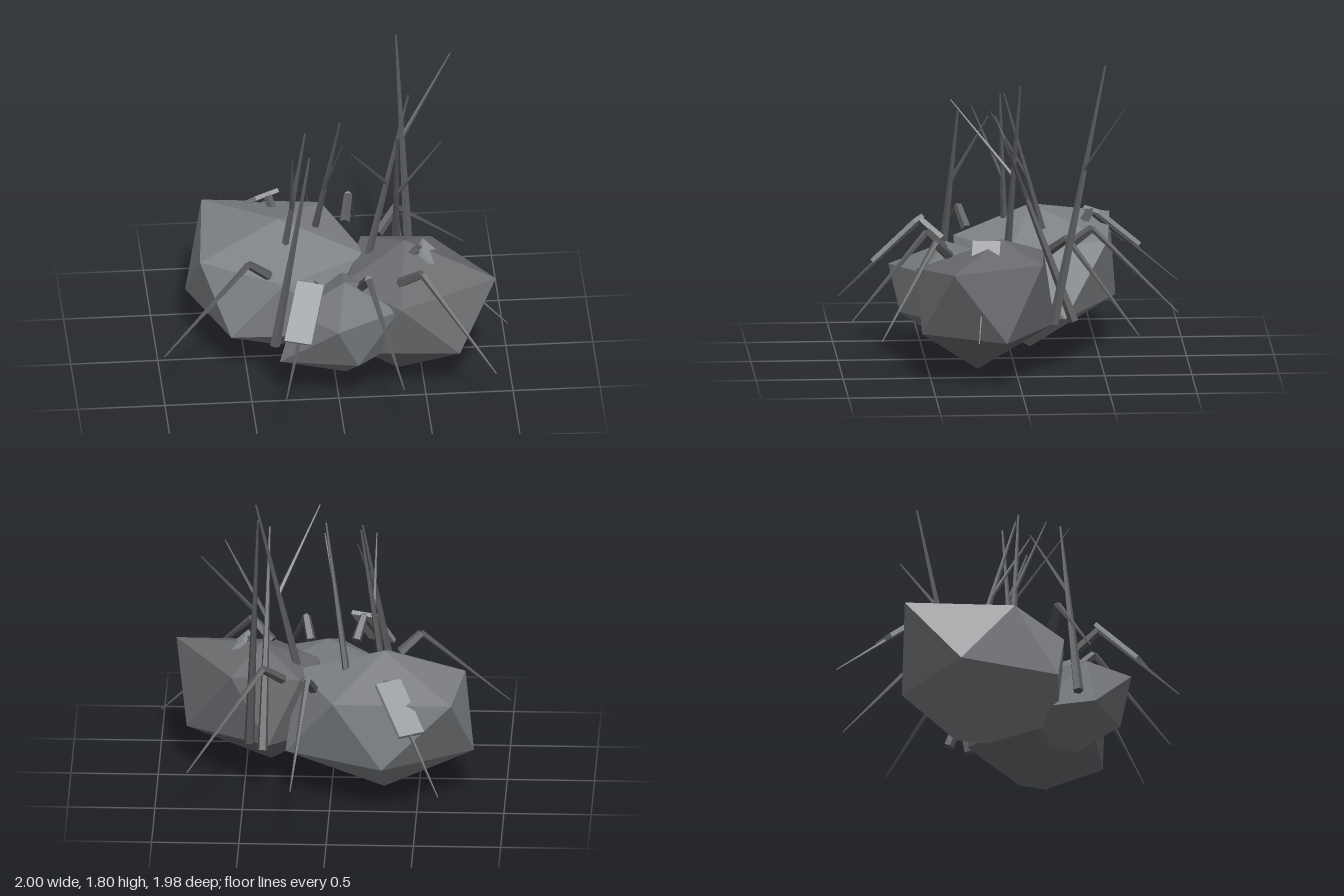
import * as THREE from 'three';

const paint = (color) => new THREE.MeshStandardMaterial({ color, flatShading: true });
const paleRock = paint(0x7e8185);
const midRock = paint(0x74777a);
const darkRock = paint(0x686a6d);
const boardGrey = paint(0x94979b);
const twigGrey = paint(0x5a5b5d);
const vec = (p) => new THREE.Vector3(...p);

function addMesh(parent, name, geometry, material) {
  const mesh = new THREE.Mesh(geometry, material);
  mesh.name = name;
  parent.add(mesh);
  return mesh;
}

// Irregular 20-sided boulder: two poles and two staggered rings of five
function boulder(top, bottom, upper, lower) {
  const pos = [];
  const face = (...corners) => corners.forEach((c) => pos.push(...c));
  for (let i = 0; i < 5; i++) {
    const j = (i + 1) % 5;
    face(top, upper[j], upper[i]);
    face(upper[i], upper[j], lower[i]);
    face(upper[j], lower[j], lower[i]);
    face(bottom, lower[i], lower[j]);
  }
  const geometry = new THREE.BufferGeometry();
  geometry.setAttribute('position', new THREE.Float32BufferAttribute(pos, 3));
  geometry.computeVertexNormals();
  return geometry;
}

// Tapered rod between two points
function rod(parent, name, from, to, r0, r1) {
  const a = vec(from), b = vec(to);
  const dir = b.clone().sub(a);
  const mesh = addMesh(parent, name, new THREE.CylinderGeometry(r1, r0, dir.length(), 5), twigGrey);
  mesh.position.copy(a).add(b).multiplyScalar(0.5);
  mesh.quaternion.setFromUnitVectors(new THREE.Vector3(0, 1, 0), dir.normalize());
}

// Flat board lying along the upper part of a shin
function board(parent, knee, foot) {
  const a = vec(knee);
  const along = vec(foot).sub(a).normalize();
  const side = new THREE.Vector3(0, 1, 0).cross(along).normalize();
  const up = along.clone().cross(side);
  const mesh = addMesh(parent, 'legBoard', new THREE.BoxGeometry(0.16, 0.025, 0.36), boardGrey);
  mesh.quaternion.setFromRotationMatrix(new THREE.Matrix4().makeBasis(side, up, along));
  mesh.position.copy(a).addScaledVector(along, 0.18).addScaledVector(up, 0.01);
}

export function createModel() {
  const model = new THREE.Group();
  model.name = 'rockCreature';

  // Body boulders
  addMesh(model, 'largeBoulder', boulder(
    [-0.3, 0.84, -0.12], [-0.3, 0, -0.12],
    [[0.2, 0.66, 0.02], [-0.3, 0.66, 0.32], [-0.76, 0.66, 0.03], [-0.7, 0.7, -0.6], [-0.02, 0.68, -0.55]],
    [[0.05, 0.3, 0.3], [-0.6, 0.3, 0.28], [-0.82, 0.3, -0.28], [-0.3, 0.3, -0.61], [0.26, 0.28, -0.29]]), paleRock);
  addMesh(model, 'sideBoulder', boulder(
    [0.41, 0.79, 0.09], [0.36, 0.02, 0.22],
    [[0.91, 0.69, 0.39], [0.35, 0.61, 0.57], [0.07, 0.63, 0.25], [0.18, 0.67, -0.17], [0.58, 0.67, -0.14]],
    [[0.69, 0.3, 0.56], [0.17, 0.29, 0.5], [-0.08, 0.28, 0.15], [0.36, 0.28, -0.22], [0.84, 0.27, 0.08]]), darkRock);
  addMesh(model, 'frontBoulder', boulder(
    [0.04, 0.7, 0.38], [0.05, 0.11, 0.39],
    [[0.34, 0.58, 0.53], [-0.02, 0.56, 0.71], [-0.25, 0.55, 0.45], [0.04, 0.6, 0.08], [0.33, 0.59, 0.25]],
    [[0.1, 0.3, 0.65], [-0.34, 0.26, 0.5], [-0.2, 0.28, 0.17], [0.2, 0.28, 0.1], [0.36, 0.28, 0.38]]), midRock);

  // Eight bent legs: hip (x, z), knee (x, z), foot (x, z), board or not
  const legs = [
    [[-0.38, 0.24], [-0.5, 0.28], [-1.0, 0.46], false],
    [[-0.12, 0.4], [-0.16, 0.52], [-0.34, 0.98], true],
    [[0.14, 0.4], [0.17, 0.5], [0.34, 0.94], false],
    [[0.36, 0.38], [0.48, 0.47], [0.88, 0.8], false],
    [[0.38, 0.16], [0.49, 0.175], [0.99, 0.25], true],
    [[0.28, -0.18], [0.39, -0.29], [0.81, -0.68], false],
    [[0.1, -0.32], [0.13, -0.45], [0.21, -0.94], false],
    [[-0.29, -0.4], [-0.33, -0.47], [-0.64, -0.99], true],
  ];
  for (const [h, k, f, hasBoard] of legs) {
    const leg = new THREE.Group();
    leg.name = 'leg';
    const knee = [k[0], 0.785, k[1]], foot = [f[0], 0.3, f[1]];
    rod(leg, 'thigh', [h[0], 0.68, h[1]], knee, 0.03, 0.025);
    rod(leg, 'shin', knee, foot, 0.02, 0.004);
    if (hasBoard) board(leg, knee, foot);
    model.add(leg);
  }

  // Upright stalks: base, tip, fork point, branch tip
  const stalks = [
    [[0.47, 0.3, -0.21], [0.41, 1.8, -0.51], [0.44, 1.2, -0.39], [0.73, 1.61, -0.6]],
    [[0.12, 0.3, 0.06], [0.44, 1.69, -0.02], [0.31, 1.13, 0.01], [0.085, 1.54, 0.36]],
    [[0.39, 0.3, -0.33], [0.365, 1.5, 0.12], [0.375, 1.01, -0.06], [0.62, 1.43, 0.08]],
    [[-0.15, 0.3, -0.3], [0.04, 1.56, 0.05], [-0.04, 1.05, -0.09], [0.05, 1.46, 0.13]],
    [[-0.36, 0.31, 0.4], [-0.16, 1.44, 0.3], [-0.24, 0.99, 0.34], [-0.14, 1.39, 0.13]],
    [[-0.34, 0.3, 0.01], [-0.16, 1.51, 0.06], [-0.235, 1.0, 0.04], [-0.245, 1.43, 0.22]],
  ];
  for (const [base, tip, fork, branchTip] of stalks) {
    const stalk = new THREE.Group();
    stalk.name = 'stalk';
    rod(stalk, 'stem', base, tip, 0.031, 0.006);
    rod(stalk, 'branch', fork, branchTip, 0.014, 0.004);
    model.add(stalk);
  }
  return model;
}
